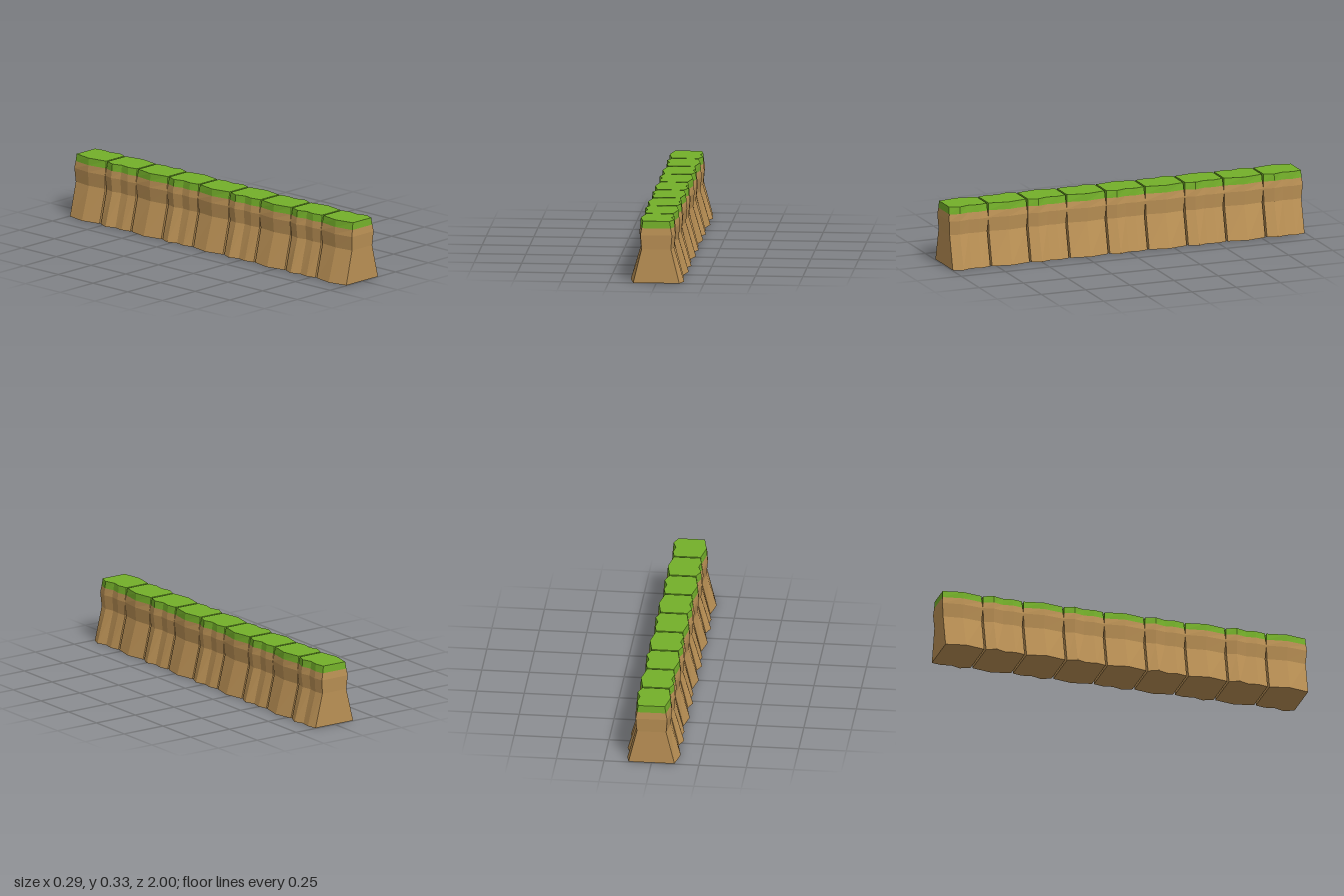
import * as THREE from 'three';

// Block cross-sections by height: half width at the ends, extra bulge, half length
const LEVELS = [
  { y: 0, half: 0.121, bulge: 0.022, len: 0.106 },
  { y: 0.18, half: 0.077, bulge: 0.013, len: 0.106 },
  { y: 0.255, half: 0.083, bulge: 0.014, len: 0.111 },
  { y: 0.292, half: 0.076, bulge: 0.017, len: 0.108 },
  { y: 0.33, half: 0.07, bulge: 0.02, len: 0.106 },
];
// Bulge strength along each side, from back to front
const WAVY = [0, 0.55, 0.1, 1, 0];
const BOWED = [0, 1, 0];

function ring({ y, half, bulge, len }) {
  const side = (weights, sign) => weights.map((w, i) =>
    new THREE.Vector3(sign * (half + bulge * w), y, len * (2 * i / (weights.length - 1) - 1)));
  return [...side(WAVY, 1), ...side(BOWED, -1).reverse()];
}

// Faceted loft through the rings, closed at top and bottom
function loft(levels) {
  const rings = levels.map(ring);
  const n = rings[0].length;
  const top = rings.length - 1;
  const low = new THREE.Vector3(0, levels[0].y, 0);
  const high = new THREE.Vector3(0, levels[top].y, 0);
  const points = [];
  for (let j = 0; j < n; j++) {
    const k = (j + 1) % n;
    for (let i = 0; i < top; i++) {
      const [a, b, c, d] = [rings[i][j], rings[i][k], rings[i + 1][j], rings[i + 1][k]];
      points.push(a, c, b, b, c, d);
    }
    points.push(low, rings[0][j], rings[0][k]);
    points.push(high, rings[top][k], rings[top][j]);
  }
  const geometry = new THREE.BufferGeometry().setFromPoints(points);
  geometry.computeVertexNormals();
  return geometry;
}

export function createModel() {
  const model = new THREE.Group();
  model.name = 'grassyEmbankment';
  const earth = new THREE.MeshStandardMaterial({ color: 0xbb9155, flatShading: true });
  const grass = new THREE.MeshStandardMaterial({ color: 0x74b02a, flatShading: true });
  const earthGeometry = loft(LEVELS.slice(0, 4));
  const grassGeometry = loft(LEVELS.slice(3));

  // Row of nine blocks, every second one turned around
  const count = 9;
  const pitch = 2 / count;
  for (let i = 0; i < count; i++) {
    const block = new THREE.Group();
    block.name = `block${i + 1}`;
    const body = new THREE.Mesh(earthGeometry, earth);
    body.name = 'earthBody';
    const cap = new THREE.Mesh(grassGeometry, grass);
    cap.name = 'grassTop';
    block.add(body, cap);
    block.position.z = (i - (count - 1) / 2) * pitch;
    block.rotation.y = i % 2 ? Math.PI : 0;
    model.add(block);
  }
  return model;
}
